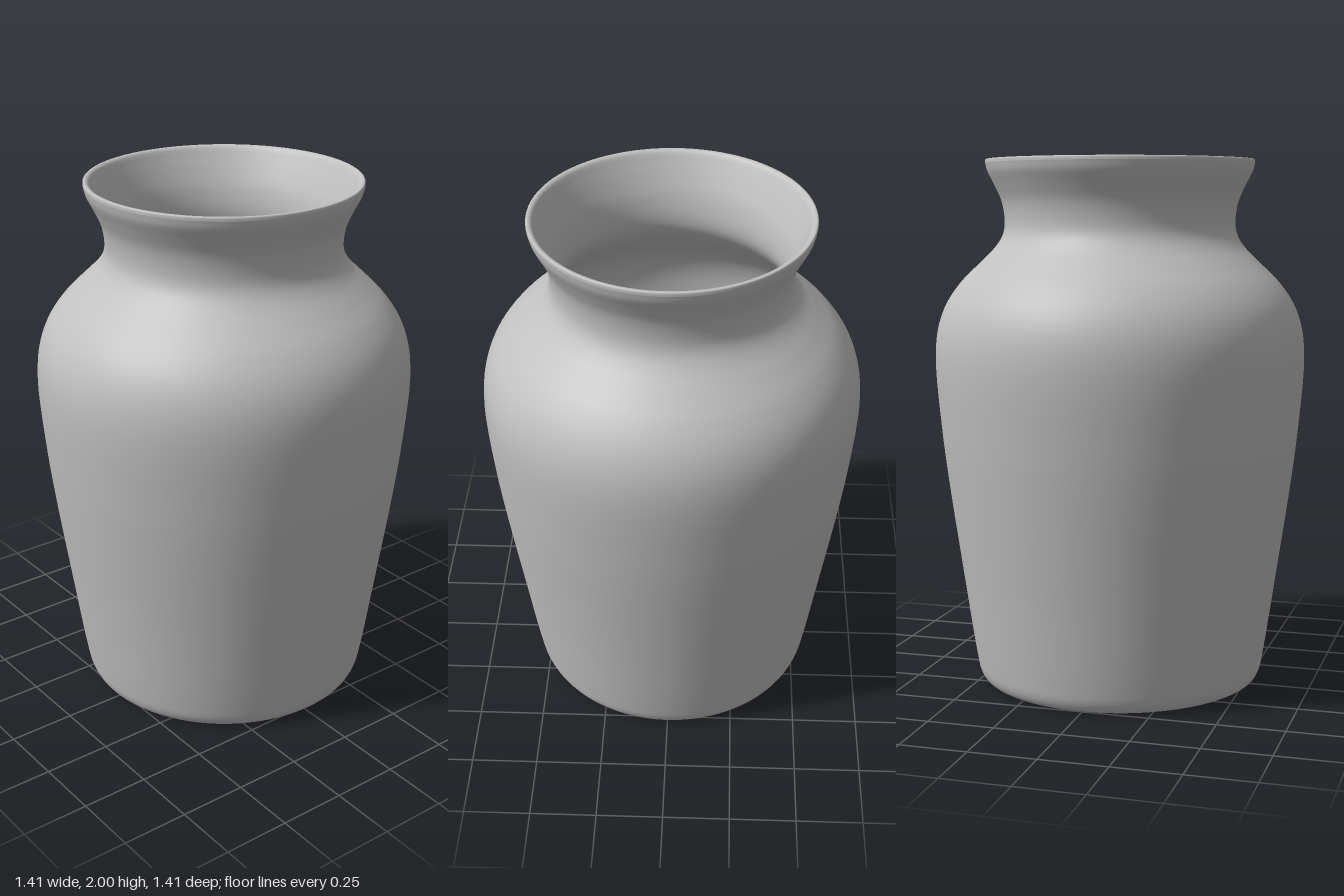
import * as THREE from 'three';

// Smooth curve through [radius, height] points
function smooth(points, samples) {
  const curve = new THREE.CatmullRomCurve3(
    points.map(([r, y]) => new THREE.Vector3(r, y, 0)), false, 'centripetal');
  return curve.getPoints(samples).map((p) => new THREE.Vector2(p.x, p.y));
}

export function createModel() {
  const group = new THREE.Group();
  group.name = 'vase';
  const clay = new THREE.MeshStandardMaterial({ color: 0xc0c0c0 });
  clay.name = 'grey clay';

  const lathe = (name, profile) => {
    const mesh = new THREE.Mesh(new THREE.LatheGeometry(profile, 96), clay);
    mesh.name = name;
    group.add(mesh);
  };

  // Underside with a shallow recess, rounded foot, body, shoulder and neck
  const outside = smooth([
    [0.33, 0.018], [0.355, 0.016], [0.375, 0.004], [0.4, 0], [0.5, 0.002],
    [0.53, 0.013], [0.547, 0.04], [0.56, 0.1], [0.605, 0.4], [0.662, 0.8],
    [0.685, 1], [0.703, 1.25], [0.692, 1.37], [0.66, 1.46], [0.605, 1.54],
    [0.535, 1.61], [0.475, 1.67], [0.446, 1.715], [0.437, 1.76],
    [0.447, 1.84], [0.475, 1.905], [0.5, 1.955], [0.508, 1.985],
  ], 110);
  lathe('outerWall', [new THREE.Vector2(0, 0.018), ...outside]);

  // Thin rounded lip
  lathe('rim', smooth([
    [0.508, 1.985], [0.507, 1.998], [0.5, 2], [0.489, 1.995], [0.48, 1.98],
  ], 12));

  // Hollow inside, from the lip down to the floor
  const inside = smooth([
    [0.48, 1.98], [0.45, 1.915], [0.422, 1.84], [0.411, 1.76], [0.42, 1.705],
    [0.455, 1.648], [0.515, 1.588], [0.585, 1.52], [0.635, 1.45],
    [0.665, 1.365], [0.675, 1.25], [0.658, 1], [0.635, 0.8], [0.578, 0.4],
    [0.533, 0.1], [0.518, 0.06], [0.49, 0.045], [0.4, 0.043],
  ], 90);
  lathe('innerWall', [...inside, new THREE.Vector2(0, 0.043)]);

  return group;
}
